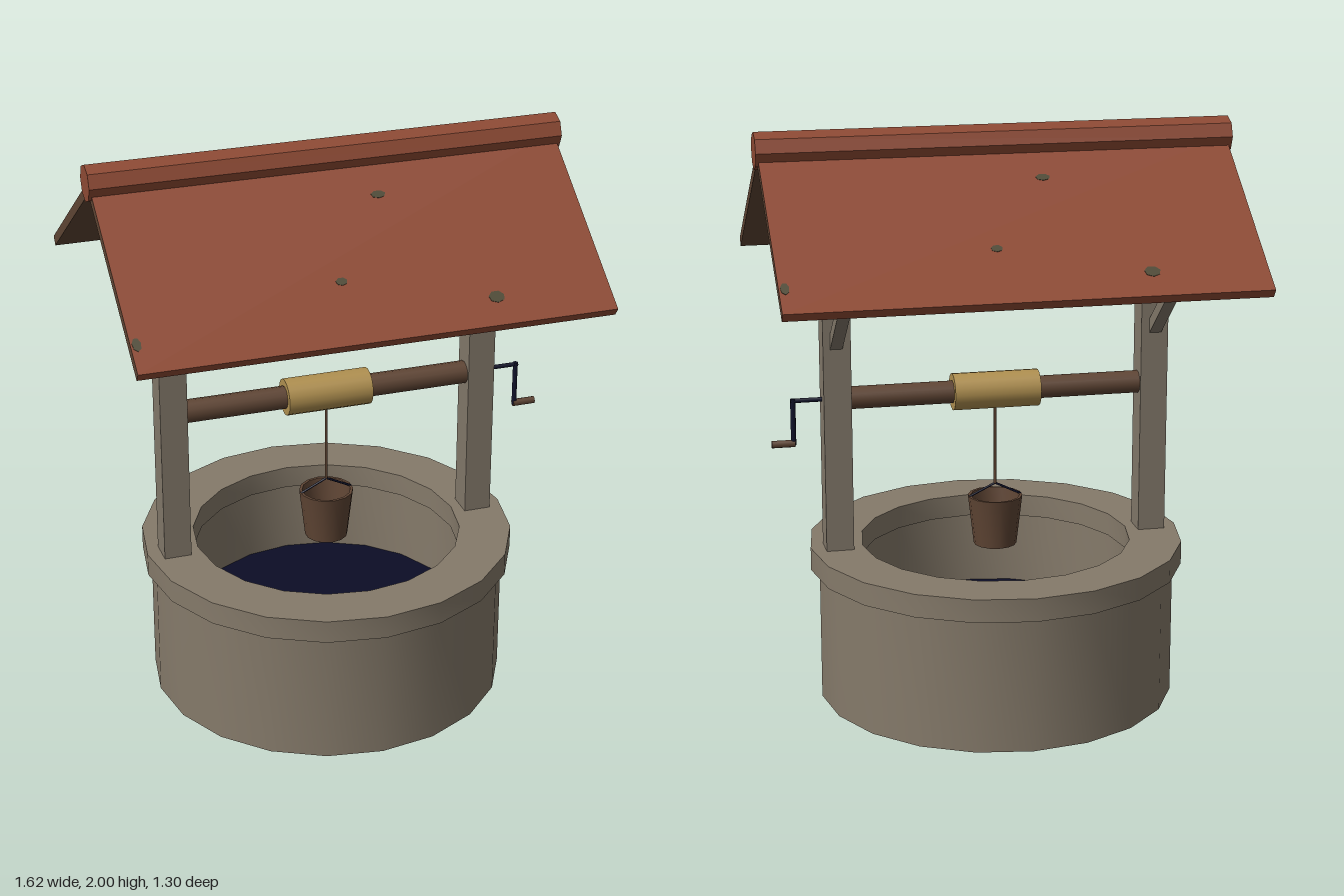
import * as THREE from 'three';
import { toCreasedNormals } from 'three/addons/utils/BufferGeometryUtils.js';

const paint = (name, color, side = THREE.FrontSide) => {
  const m = new THREE.MeshStandardMaterial({ color, side });
  m.name = name;
  return m;
};

export function createModel() {
  const well = new THREE.Group();
  well.name = 'well';

  const stone = paint('stone', 0x857a6a, THREE.DoubleSide);
  const greyWood = paint('weatheredWood', 0x82786a);
  const brownWood = paint('brownWood', 0x5f4534, THREE.DoubleSide);
  const tile = paint('terracotta', 0x8e4a34);
  const moss = paint('moss', 0x4f4a36);
  const ropeMat = paint('rope', 0xb09050);
  const cordMat = paint('cord', 0x5c4230);
  const iron = paint('iron', 0x10122a);
  const water = paint('water', 0x0c0d26, THREE.DoubleSide);

  const add = (name, geometry, material, parent = well) => {
    const mesh = new THREE.Mesh(geometry, material);
    mesh.name = name;
    parent.add(mesh);
    return mesh;
  };
  const box = (name, w, h, d, x, y, z, material, parent) => {
    const mesh = add(name, new THREE.BoxGeometry(w, h, d), material, parent);
    mesh.position.set(x, y, z);
    return mesh;
  };
  // Round bar between two points
  const rod = (name, a, b, r, material, sides = 12) => {
    const from = new THREE.Vector3(...a), to = new THREE.Vector3(...b);
    const dir = to.clone().sub(from);
    const mesh = add(name, new THREE.CylinderGeometry(r, r, dir.length(), sides), material);
    mesh.position.copy(from).add(to).multiplyScalar(0.5);
    mesh.quaternion.setFromUnitVectors(new THREE.Vector3(0, 1, 0), dir.normalize());
    return mesh;
  };
  // Turned shape with crisp profile corners
  const turned = (name, points, sides, material) => {
    const profile = points.map(([r, y]) => new THREE.Vector2(r, y));
    return add(name, toCreasedNormals(new THREE.LatheGeometry(profile, sides), 0.55), material);
  };

  // Masonry: outer wall, overhanging cap ring, inner lining and water
  turned('outerWall', [[0.62, 0], [0.62, 0.48]], 20, stone);
  turned('capRing', [[0.47, 0.47], [0.65, 0.47], [0.65, 0.55], [0.47, 0.55], [0.47, 0.47]], 20, stone);
  turned('innerLining', [[0.48, 0.48], [0.48, 0.19]], 20, stone);
  const pool = add('waterSurface', new THREE.CircleGeometry(0.48, 20), water);
  pool.rotation.x = -Math.PI / 2;
  pool.position.y = 0.215;

  // Frame: posts, diagonal braces and top beam
  for (const sx of [-1, 1]) {
    box('post', 0.095, 0.97, 0.095, sx * 0.553, 1.0, 0, greyWood);
    for (const sz of [-1, 1]) {
      const brace = box('brace', 0.042, 0.04, 0.32, sx * 0.555, 1.376, sz * 0.15, greyWood);
      brace.rotation.x = -sz * THREE.MathUtils.degToRad(40);
    }
  }
  box('topBeam', 1.4, 0.06, 0.12, 0, 1.513, 0, greyWood);

  // Windlass and crank
  rod('axle', [-0.51, 1.08, 0], [0.51, 1.08, 0], 0.04, brownWood);
  rod('ropeCoil', [-0.15, 1.08, 0], [0.15, 1.08, 0], 0.064, ropeMat, 16);
  rod('crankShaft', [0.59, 1.08, 0], [0.708, 1.08, 0], 0.008, iron, 8);
  rod('crankArm', [0.7, 1.087, 0], [0.7, 0.925, 0], 0.009, iron, 8);
  rod('crankGrip', [0.695, 0.93, 0], [0.775, 0.93, 0], 0.013, brownWood, 8);

  // Bucket on its rope
  rod('hangingRope', [0, 1.03, 0], [0, 0.742, 0], 0.005, cordMat, 8);
  turned('bucket', [[0, 0.525], [0.075, 0.525], [0.095, 0.7], [0.085, 0.7], [0.067, 0.54], [0, 0.54]], 14, brownWood);
  for (const sx of [-1, 1]) {
    rod('bucketHandle', [sx * 0.092, 0.698, 0], [0, 0.743, 0], 0.004, iron, 6);
  }

  // Roof: each slope is planking tiled on top and at the eave, with thin moss spots
  const pitch = THREE.MathUtils.degToRad(35);
  const spots = [[0.13, -0.19, 0.05, 0.03], [0.41, 0.25, 0.055, 0.045],
    [-0.08, 0.12, 0.04, 0.03], [-0.78, 0.25, 0.03, 0.05]];
  for (const turn of [0, Math.PI]) {
    const side = new THREE.Group();
    side.name = 'roofSide';
    side.rotation.y = turn;
    well.add(side);
    const slope = new THREE.Group();
    slope.name = 'roofSlope';
    slope.position.set(0, 1.717, 0.2915);
    slope.rotation.x = pitch;
    side.add(slope);
    box('roofPanel', 1.6, 0.034, 0.712, 0, 0, 0,
      [brownWood, brownWood, tile, brownWood, tile, brownWood], slope);
    for (const [x, z, w, d] of spots) {
      const spot = add('mossSpot', new THREE.CylinderGeometry(0.5, 0.5, 0.002, 7), moss, slope);
      spot.scale.set(w, 1, d);
      spot.position.set(x, 0.0175, z);
    }
  }
  const ridge = add('ridgeCap', new THREE.CylinderGeometry(0.063, 0.063, 1.62, 8), tile);
  ridge.geometry = toCreasedNormals(ridge.geometry, 0.3);
  ridge.rotation.z = Math.PI / 2;
  ridge.position.y = 1.937;

  return well;
}
